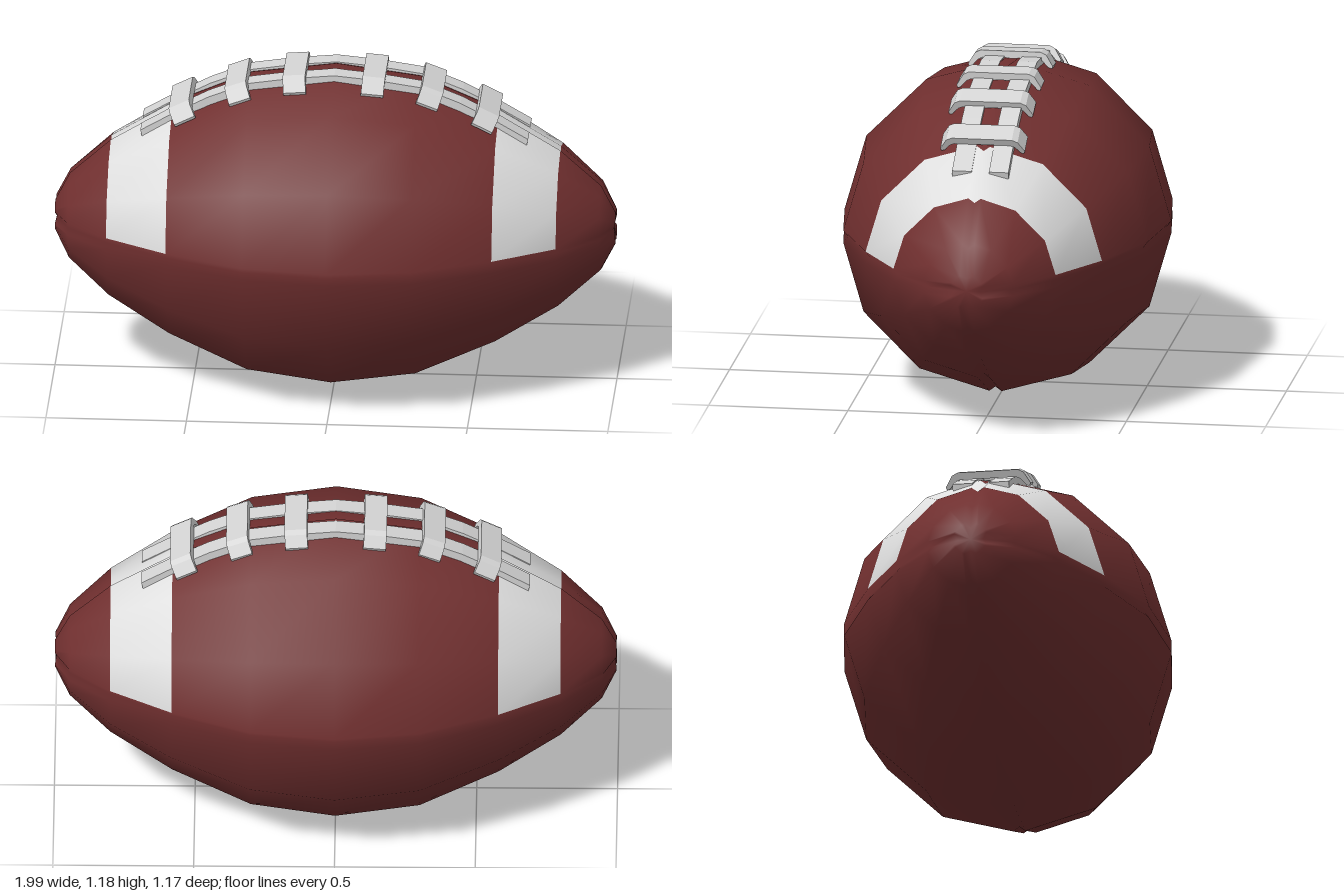
import * as THREE from 'three';

const CY = 0.587; // height of the long axis
const HALF = [[0, 0.587], [0.3, 0.547], [0.58, 0.425], [0.8, 0.292], [0.945, 0.162], [0.997, 0.062]];
const PROFILE = [...HALF.slice(1).reverse().map(([x, r]) => [-x, r]), ...HALF];

// Twelve-sided spindle with a narrow seam groove at each quarter
function ballGeometry() {
  const pos = [], leather = [], paint = [], N = 20;
  for (const [x, r] of PROFILE) {
    const off = Math.asin(0.022 / r);
    for (let q = 0; q < 4; q++) {
      [0, off, Math.PI / 6, Math.PI / 3, Math.PI / 2 - off].forEach((t, k) => {
        const a = q * Math.PI / 2 + t;
        const rr = k === 0 ? r - 0.017 : r;
        const xx = k === 0 && Math.abs(x) > 0.99 ? x * 0.99 : x;
        pos.push(xx, CY + rr * Math.sin(a), rr * Math.cos(a));
      });
    }
  }
  const last = PROFILE.length - 1;
  for (let i = 0; i < last; i++) {
    const mid = Math.abs(PROFILE[i][0] + PROFILE[i + 1][0]) / 2;
    for (let j = 0; j < N; j++) {
      const k = (j + 1) % N;
      const a = i * N + j, b = a + N, c = (i + 1) * N + k, d = i * N + k;
      // Stripes cover the upper half only
      const striped = mid > 0.6 && mid < 0.75 && j >= 1 && j < 9;
      (striped ? paint : leather).push(a, b, c, a, c, d);
    }
  }
  // Tips
  const p0 = pos.length / 3;
  pos.push(-0.99, CY, 0, 0.99, CY, 0);
  for (let j = 0; j < N; j++) {
    const k = (j + 1) % N;
    leather.push(p0, j, k, p0 + 1, last * N + k, last * N + j);
  }
  const g = new THREE.BufferGeometry();
  g.setAttribute('position', new THREE.Float32BufferAttribute(pos, 3));
  g.setIndex([...leather, ...paint]);
  g.addGroup(0, leather.length, 0);
  g.addGroup(leather.length, paint.length, 1);
  g.computeVertexNormals();
  return g;
}

// Long lace strip: side outline following the ball, extruded across
function stripGeometry(width) {
  const half = [[0, 1.174], [0.15, 1.16], [0.31, 1.136], [0.45, 1.08], [0.58, 1.012], [0.69, 0.948]];
  const top = [...half.slice(1).reverse().map(([x, y]) => [-x, y]), ...half];
  const low = top.map(([x, y]) => [x * 0.99, y - 0.03]).reverse();
  const shape = new THREE.Shape([...top, ...low].map(([x, y]) => new THREE.Vector2(x, y)));
  return new THREE.ExtrudeGeometry(shape, { depth: width, bevelEnabled: false });
}

// Cross lace: a flat arch with turned-down ends
function tieGeometry(width) {
  const outer = [[0.108, 0.028], [0.128, 0.018], [0.152, -0.022]];
  const inner = [[0.148, -0.032], [0.138, -0.03], [0.116, -0.005], [0.1, 0.002]];
  const right = [...outer, ...inner];
  const left = right.map(([z, y]) => [-z, y]).reverse();
  const shape = new THREE.Shape([...right, ...left].map(([z, y]) => new THREE.Vector2(z, y)));
  const g = new THREE.ExtrudeGeometry(shape, { depth: width, bevelEnabled: false });
  g.translate(0, 0, -width / 2);
  g.rotateY(Math.PI / 2);
  return g;
}

export function createModel() {
  const leather = new THREE.MeshStandardMaterial({ color: 0x702f2f });
  leather.name = 'leather';
  const paint = new THREE.MeshStandardMaterial({ color: 0xdedede });
  paint.name = 'stripe white';
  const lace = new THREE.MeshStandardMaterial({ color: 0xd4d4d4 });
  lace.name = 'lace white';

  const model = new THREE.Group();
  model.name = 'ball';
  const body = new THREE.Mesh(ballGeometry(), [leather, paint]);
  body.name = 'body';
  model.add(body);

  const laces = new THREE.Group();
  laces.name = 'laces';
  model.add(laces);

  const strip = stripGeometry(0.07);
  [-0.105, 0.027].forEach((z, i) => {
    const m = new THREE.Mesh(strip, lace);
    m.name = i ? 'frontStrip' : 'backStrip';
    m.position.z = z;
    laces.add(m);
  });

  const tie = tieGeometry(0.08);
  for (const side of [-1, 1]) {
    for (const [x, y, tilt] of [[0.14, 1.152, 0.08], [0.342, 1.113, 0.36], [0.54, 1.033, 0.46]]) {
      const m = new THREE.Mesh(tie, lace);
      m.name = 'crossLace';
      m.position.set(side * x, y, 0.006);
      m.rotation.z = -side * tilt;
      laces.add(m);
    }
  }
  return model;
}
